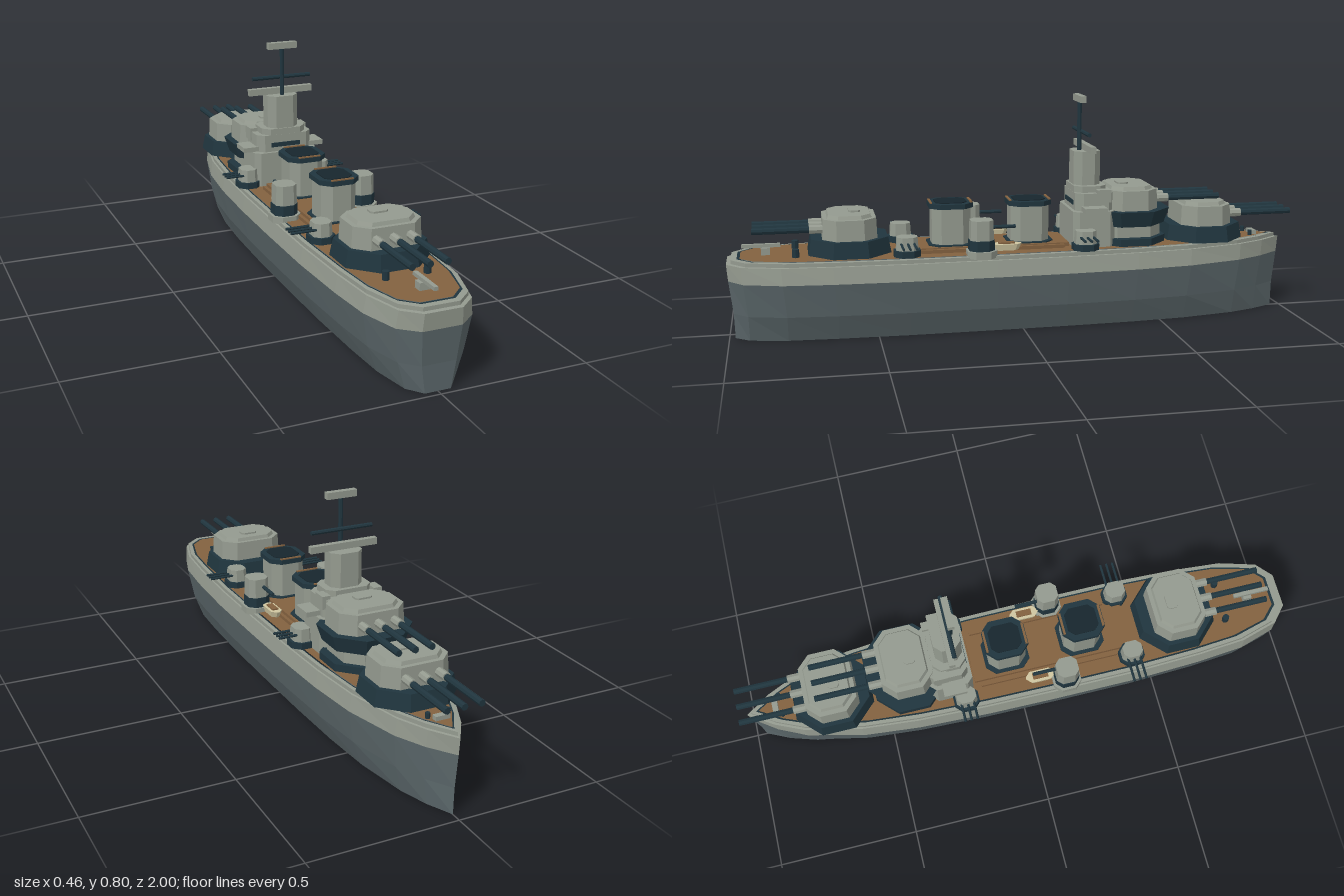
import * as THREE from 'three';

const mat = (name, color) => {
  const m = new THREE.MeshStandardMaterial({ color, flatShading: true, side: THREE.DoubleSide });
  m.name = name;
  return m;
};

export function createModel() {
  const grey = mat('light grey paint', 0x949a8f);
  const slate = mat('slate hull paint', 0x5b676a);
  const dark = mat('dark blue steel', 0x20353e);
  const wood = mat('deck wood', 0x83613f);
  const cream = mat('cream boat paint', 0xcfc6a0);
  const black = mat('funnel opening', 0x17262d);
  const ship = new THREE.Group();
  ship.name = 'warship';

  const add = (parent, name, geo, m, x = 0, y = 0, z = 0) => {
    const mesh = new THREE.Mesh(geo, m);
    mesh.name = name;
    mesh.position.set(x, y, z);
    parent.add(mesh);
    return mesh;
  };
  const box = (p, name, m, w, h, d, x, y, z) => add(p, name, new THREE.BoxGeometry(w, h, d), m, x, y, z);
  const group = (name, x, y, z) => {
    const g = new THREE.Group();
    g.name = name;
    g.position.set(x, y, z);
    ship.add(g);
    return g;
  };
  // box with chamfered vertical edges, standing on y, with top and bottom scale
  const block = (p, name, m, w, h, d, c, x, y, z, top = 1, bottom = 1) => {
    const a = w / 2, b = d / 2;
    const s = new THREE.Shape([[a, c - b], [a, b - c], [a - c, b], [c - a, b], [-a, b - c], [-a, c - b], [c - a, -b], [a - c, -b]]
      .map(q => new THREE.Vector2(q[0], q[1])));
    const g = new THREE.ExtrudeGeometry(s, { depth: h, bevelEnabled: false }).rotateX(-Math.PI / 2);
    const pos = g.attributes.position;
    for (let i = 0; i < pos.count; i++) {
      const k = pos.getY(i) > h / 2 ? top : bottom;
      pos.setX(i, pos.getX(i) * k);
      pos.setZ(i, pos.getZ(i) * k);
    }
    g.computeVertexNormals();
    return add(p, name, g, m, x, y, z);
  };
  const rod = (p, name, m, r, len, axis, x, y, z, sides = 8) => {
    const g = new THREE.CylinderGeometry(r, r, len, sides);
    if (axis === 'z') g.rotateX(Math.PI / 2);
    if (axis === 'x') g.rotateZ(Math.PI / 2);
    return add(p, name, g, m, x, y, z);
  };

  // hull plan: half width along z, from bow to stern
  const half = [[0, -0.985], [0.06, -0.9], [0.108, -0.8], [0.157, -0.6], [0.177, -0.4], [0.187, -0.15],
    [0.19, 0.1], [0.19, 0.4], [0.18, 0.65], [0.165, 0.82], [0.125, 0.95], [0.065, 1]];
  const plan = [...half, ...half.slice(1).reverse().map(([x, z]) => [-x, z])];
  const ring = (y, sx, sz) => plan.map(([x, z]) => [x * sx, y, z * sz]);
  const loft = (name, m, levels) => {
    const rings = levels.map(l => ring(...l)), v = [];
    for (let k = 0; k + 1 < rings.length; k++) {
      plan.forEach((_, i) => {
        const j = (i + 1) % plan.length;
        const [a, b, c, d] = [rings[k][i], rings[k][j], rings[k + 1][j], rings[k + 1][i]];
        v.push(...a, ...c, ...b, ...a, ...d, ...c);
      });
    }
    const g = new THREE.BufferGeometry();
    g.setAttribute('position', new THREE.Float32BufferAttribute(v, 3));
    g.computeVertexNormals();
    add(ship, name, g, m);
  };
  loft('lower hull', slate, [[0, 0.66, 0.98], [0.09, 0.87, 0.982], [0.205, 1, 0.995]]);
  loft('upper strake', grey, [[0.205, 1, 0.995], [0.262, 0.95, 1]]);
  loft('gunwale', grey, [[0.262, 0.95, 1], [0.263, 0.92, 0.985], [0.276, 0.92, 0.985], [0.277, 0.85, 0.965]]);
  loft('waterway', dark, [[0.277, 0.85, 0.965], [0.274, 0.81, 0.95]]);
  const deckShape = new THREE.Shape(plan.map(([x, z]) => new THREE.Vector2(x * 0.82, -z * 0.955)));
  add(ship, 'deck', new THREE.ShapeGeometry(deckShape).rotateX(-Math.PI / 2), wood, 0, 0.278, 0);
  box(ship, 'raised deck', wood, 0.17, 0.014, 0.58, 0, 0.285, 0.12);
  for (const x of [-0.1, 0.1]) box(ship, 'deck beam', wood, 0.012, 0.012, 0.5, x, 0.284, 0.1);

  // main turrets: dir is the way the guns point along z
  const turret = (name, z, y, dir, flare) => {
    const g = group(name, 0, y, z);
    if (dir < 0) g.rotation.y = Math.PI;
    block(g, 'turretBase', dark, 0.29, 0.055, 0.28, 0.08, 0, -0.055, 0, flare ? 1 : 0.93, flare ? 0.88 : 1);
    block(g, 'turretHouse', grey, 0.24, 0.07, 0.185, 0.045, 0, 0, 0, 0.97);
    block(g, 'turretRoof', grey, 0.2, 0.012, 0.15, 0.035, 0, 0.07, 0, 0.94);
    block(g, 'roofHatch', grey, 0.06, 0.006, 0.04, 0.008, 0, 0.082, -0.02);
    for (const x of [-0.058, 0, 0.058]) {
      rod(g, 'gunSleeve', grey, 0.015, 0.06, 'z', x, 0.034, 0.105);
      rod(g, 'gunBarrel', dark, 0.011, 0.24, 'z', x, 0.034, 0.205);
    }
  };
  turret('forwardTurret', -0.675, 0.335, -1, false);
  turret('raisedTurret', -0.4, 0.4, -1, true);
  turret('aftTurret', 0.588, 0.335, 1, false);
  block(ship, 'raisedTurretPedestal', grey, 0.21, 0.075, 0.22, 0.05, 0, 0.278, -0.4);
  block(ship, 'pedestalFoot', dark, 0.27, 0.025, 0.25, 0.07, 0, 0.278, -0.4);

  // bridge tower
  block(ship, 'bridgeBase', grey, 0.24, 0.125, 0.15, 0.02, 0, 0.278, -0.255);
  block(ship, 'bridgeMiddle', grey, 0.21, 0.065, 0.14, 0.025, 0, 0.4, -0.262);
  block(ship, 'bridgeUpper', grey, 0.165, 0.03, 0.115, 0.025, 0, 0.457, -0.25);
  block(ship, 'bridgeTower', grey, 0.115, 0.12, 0.095, 0.025, 0, 0.485, -0.245);
  for (const s of [-1, 1]) {
    box(ship, 'bridgeWing', grey, 0.06, 0.017, 0.08, s * 0.125, 0.413, -0.25);
    box(ship, 'bridgeSidePost', grey, 0.03, 0.045, 0.05, s * 0.095, 0.455, -0.29);
  }
  box(ship, 'bridgeWindows', dark, 0.11, 0.016, 0.006, 0, 0.428, -0.192);
  box(ship, 'rangefinderBar', grey, 0.243, 0.023, 0.02, 0, 0.618, -0.245);

  // mast
  rod(ship, 'mast', dark, 0.008, 0.17, 'y', 0, 0.69, -0.225);
  rod(ship, 'mastYard', dark, 0.0075, 0.222, 'x', 0, 0.67, -0.233);
  box(ship, 'mastRadar', grey, 0.108, 0.023, 0.022, 0, 0.787, -0.225);

  // funnels
  for (const z of [-0.04, 0.237]) {
    const g = group('funnel', 0, 0.278, z);
    block(g, 'funnelFoot', dark, 0.15, 0.018, 0.16, 0.03, 0, 0, 0);
    block(g, 'funnelBody', grey, 0.125, 0.135, 0.135, 0.03, 0, 0.015, 0);
    block(g, 'funnelCap', dark, 0.142, 0.017, 0.152, 0.033, 0, 0.143, 0);
    block(g, 'funnelOpening', black, 0.1, 0.004, 0.11, 0.02, 0, 0.159, 0);
    for (const s of [-1, 1]) box(g, 'funnelTrim', wood, 0.08, 0.008, 0.008, 0, 0.16, s * 0.07);
  }

  for (const s of [-1, 1]) {
    // side anti-aircraft mounts pointing outward
    for (const [z, x] of [[-0.215, 0.14], [0.4, 0.118]]) {
      const g = group('sideGunMount', s * x, 0.278, z);
      block(g, 'mountBase', dark, 0.085, 0.022, 0.09, 0.025, 0, 0, 0);
      block(g, 'mountHouse', grey, 0.066, 0.045, 0.075, 0.018, 0, 0.022, 0, 0.92);
      const len = 0.23 - x;
      for (const dz of [-0.022, 0, 0.022]) rod(g, 'sideGunBarrel', dark, 0.0045, len, 'x', s * len / 2, 0.046, dz, 6);
    }
    // midship gun houses on overhanging platforms
    const m = group('midshipGun', s * 0.144, 0.27, 0.15);
    block(m, 'gunPlatform', grey, 0.1, 0.024, 0.1, 0.025, 0, 0, 0);
    block(m, 'gunPedestal', dark, 0.082, 0.036, 0.085, 0.022, 0, 0.024, 0);
    block(m, 'gunHouse', grey, 0.076, 0.068, 0.08, 0.018, 0, 0.06, 0, 0.95);
    rod(m, 'midshipBarrel', dark, 0.0065, 0.1, 'z', -s * 0.012, 0.098, -0.07);
    // ship's boat
    const b = group('boat', s * 0.122, 0.285, 0.06);
    block(b, 'boatHull', cream, 0.042, 0.022, 0.105, 0.017, 0, 0, 0, 1, 0.8);
    box(b, 'boatSeat', wood, 0.022, 0.008, 0.055, 0, 0.023, 0);
    // stern and bow fittings
    rod(ship, 'sternBollard', dark, 0.012, 0.028, 'y', s * 0.07, 0.292, 0.77);
    rod(ship, 'bowBollard', dark, 0.008, 0.018, 'y', s * 0.035, 0.287, -0.86);
  }
  box(ship, 'sternCatapult', grey, 0.014, 0.012, 0.13, 0, 0.308, 0.885);
  box(ship, 'catapultPost', grey, 0.036, 0.024, 0.03, 0, 0.29, 0.87);
  box(ship, 'bowWindlass', grey, 0.05, 0.014, 0.02, 0, 0.285, -0.88);
  return ship;
}
